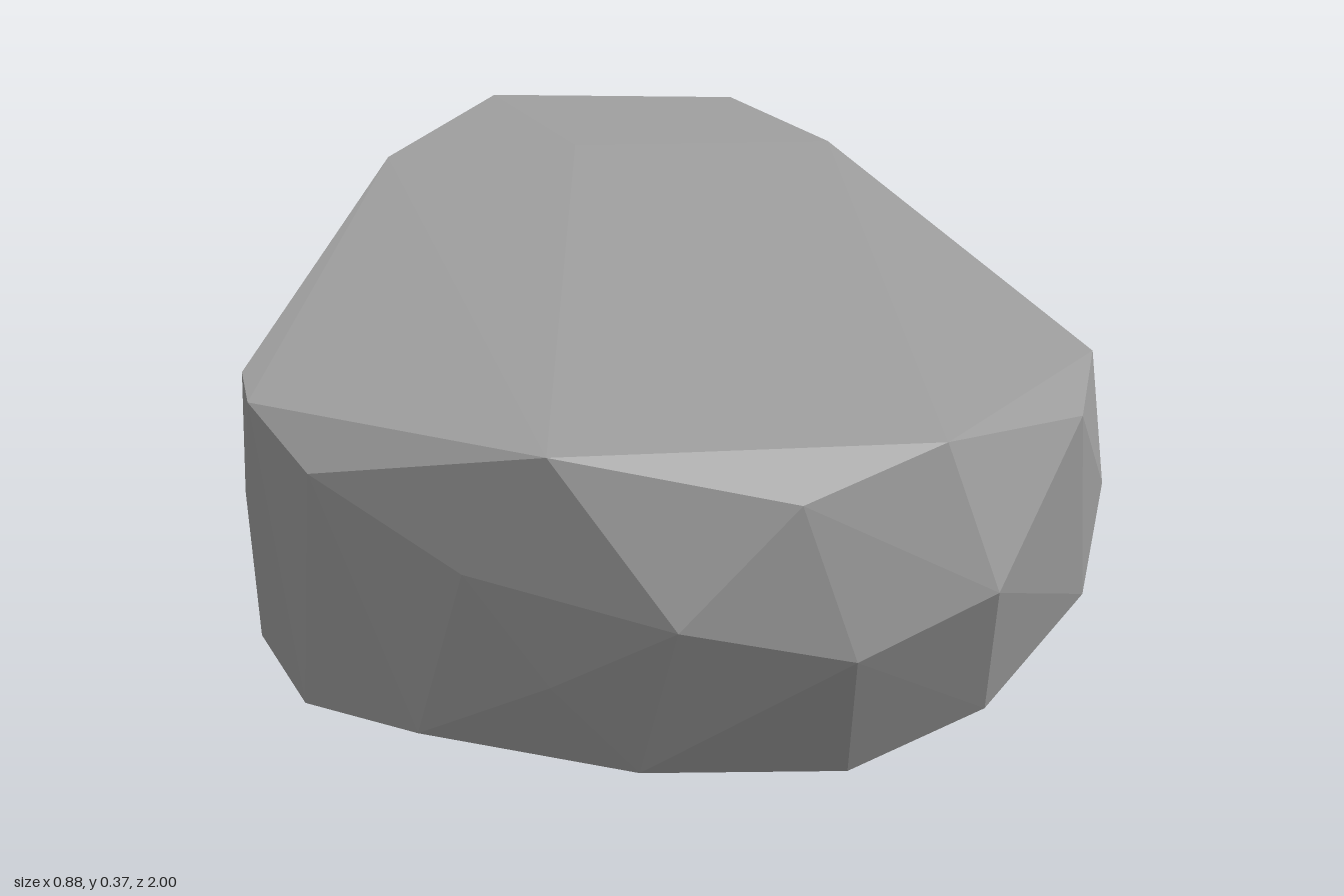
import * as THREE from 'three';
import { ConvexGeometry } from 'three/addons/geometries/ConvexGeometry.js';

// Corner points of the faceted stone, ring by ring
const topRim = [
  [-0.36, 0.36, -1], [-0.02, 0.36, -1], [0.13, 0.366, -0.6], [0.43, 0.334, 0.47],
  [0.41, 0.325, 0.71], [0.28, 0.338, 0.87], [-0.08, 0.345, 0.975], [-0.4, 0.326, 0.71],
  [-0.43, 0.325, 0.58], [-0.44, 0.356, -0.5], [-0.2, 0.366, -0.55],
];
const sides = [
  [-0.32, 0.29, 0.84], [0.15, 0.3, 0.96], [-0.16, 0.23, 0.96], [0.04, 0.19, 1],
  [0.33, 0.19, 0.855], [0.44, 0.21, 0.53], [0.36, 0.28, -0.04], [0.4, 0.21, 0.12],
  [-0.44, 0.275, -0.6], [-0.43, 0.2, 0.58],
];
const lowerRing = [
  [-0.08, 0.125, 0.965], [0.2, 0.145, 0.935], [0.42, 0.11, 0.59], [0.36, 0.115, -0.03],
  [0.38, 0.075, 0.23], [0.05, 0.085, -0.56], [-0.41, 0.125, -0.56], [-0.425, 0.1, -0.4],
  [-0.415, 0.06, 0.05], [-0.41, 0.06, 0.62], [-0.335, 0.05, 0.8], [-0.21, 0.06, 0.91],
  [0, 0.036, 0.94], [0.32, 0.048, 0.77],
];
const underside = [
  [0.19, 0.01, 0.85], [0.33, 0.012, 0.63], [0.34, 0.025, 0.08], [0.29, 0.02, -0.12],
  [0.1, 0.003, -0.2], [-0.08, 0.02, -0.38], [-0.2, 0, 0.2], [0.1, 0, 0.3],
  [-0.395, 0.018, 0.5], [-0.34, 0.03, -0.25],
];

export function createModel() {
  const group = new THREE.Group();
  const stoneGrey = new THREE.MeshStandardMaterial({ color: 0xa0a0a0 });
  stoneGrey.name = 'stoneGrey';

  // A single convex stone with flat facets
  const points = [...topRim, ...sides, ...lowerRing, ...underside]
    .map(([x, y, z]) => new THREE.Vector3(x, y, z));
  const stone = new THREE.Mesh(new ConvexGeometry(points), stoneGrey);
  stone.name = 'stone';
  group.add(stone);
  return group;
}
